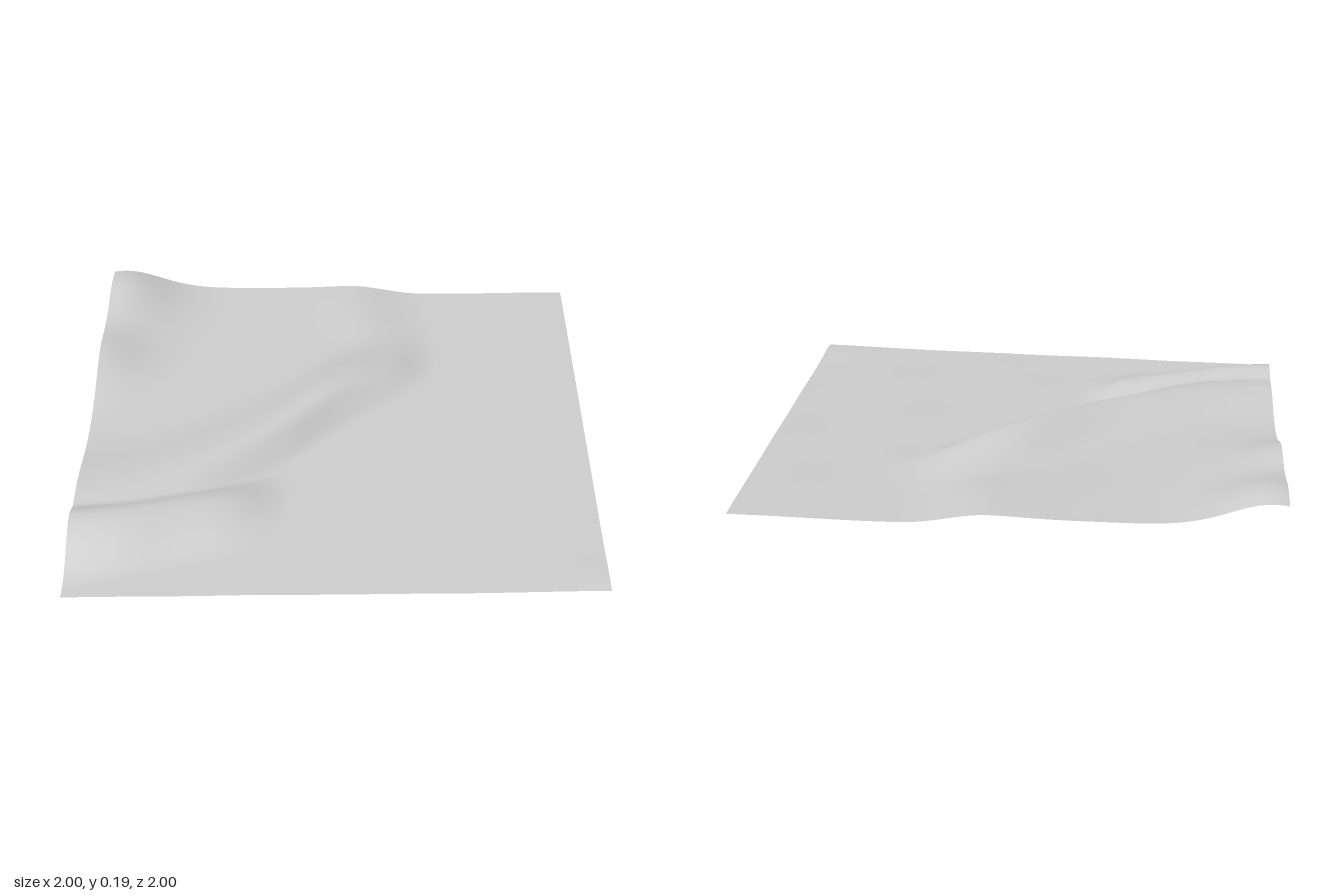
import * as THREE from 'three';

const { smoothstep, lerp, clamp } = THREE.MathUtils;

// Smooth curve through values spaced evenly over x0..x1
function track(x0, x1, values) {
  const curve = new THREE.SplineCurve(values.map((v, i) => new THREE.Vector2(i, v)));
  return x => curve.getPoint(clamp((x - x0) / (x1 - x0), 0, 1)).y;
}

const hill = (x, z, cx, cz, sx, sz, amp) =>
  amp * Math.exp(-((x - cx) ** 2) / (2 * sx * sx) - ((z - cz) ** 2) / (2 * sz * sz));

// Main diagonal ridge: crest position, crest height and width of its steep side
const mainCrest = track(-1, 0.4, [0.46, 0.42, 0.33, 0.2, 0.03, -0.17, -0.31, -0.42]);
const mainHeight = track(-1, 0.4, [0.095, 0.1, 0.11, 0.12, 0.135, 0.145, 0.115, 0.055]);
const mainWidth = track(-1, 0.4, [0.5, 0.48, 0.38, 0.27, 0.24, 0.24, 0.22, 0.2]);

// Shorter spur in front of it
const spurCrest = track(-1, -0.2, [0.66, 0.63, 0.57, 0.52, 0.46]);
const spurHeight = track(-1, -0.2, [0.115, 0.112, 0.1, 0.08, 0.03]);

// Height of a ridge above the ground, falling off differently to front and back
function ridge(z, ground, crest, height, frontWidth, backWidth) {
  const d = z - crest;
  const fall = smoothstep(Math.abs(d), 0, d > 0 ? frontWidth : backWidth);
  return lerp(Math.max(height, ground), ground, fall);
}

function heightAt(x, z) {
  const crest = mainCrest(x);

  // Sloping plain in front, raised valley floor behind the ridge
  const plain = 0.035 + 0.019 * x - 0.0165 * z;
  const valley = 0.058 - 0.03 * z;
  const behind = (1 - smoothstep(z, crest - 0.12, crest + 0.12)) * (1 - smoothstep(x, 0.05, 0.38));
  const ground = lerp(plain, Math.max(valley, plain), behind);

  const main = ridge(z, ground, crest, mainHeight(x), mainWidth(x), 0.4);
  const spur = ridge(z, ground, spurCrest(x), spurHeight(x), 0.29, 0.24);

  // Soft maximum of the two ridges
  const gap = main - spur;
  let y = (main + spur + Math.sqrt(gap * gap + 0.00004)) / 2 - 0.003;

  // Mountain corner, its shoulder, and low knolls
  y += hill(x, z, -0.95, -0.88, 0.15, 0.2, 0.105);
  y += hill(x, z, -1.04, -0.4, 0.15, 0.16, 0.085);
  y += hill(x, z, 0.06, -0.95, 0.13, 0.2, 0.012);
  y += hill(x, z, 0.17, -0.7, 0.1, 0.12, 0.01);
  y += hill(x, z, 1, 0.93, 0.12, 0.08, 0.007);

  // Gentle undulation
  y += 0.0015 * Math.sin(9 * x + 4 * z) * Math.sin(7 * z - 3 * x);
  return Math.max(0, y);
}

export function createModel() {
  const group = new THREE.Group();
  group.name = 'landscape';

  const rock = new THREE.MeshStandardMaterial({ color: 0xcccccc, side: THREE.DoubleSide });
  rock.name = 'pale grey rock';

  // Terrain sheet
  const geometry = new THREE.PlaneGeometry(2, 2, 100, 100).rotateX(-Math.PI / 2);
  const p = geometry.attributes.position;
  for (let i = 0; i < p.count; i++) p.setY(i, heightAt(p.getX(i), p.getZ(i)));
  geometry.computeVertexNormals();

  const terrain = new THREE.Mesh(geometry, rock);
  terrain.name = 'terrain';
  group.add(terrain);
  return group;
}
